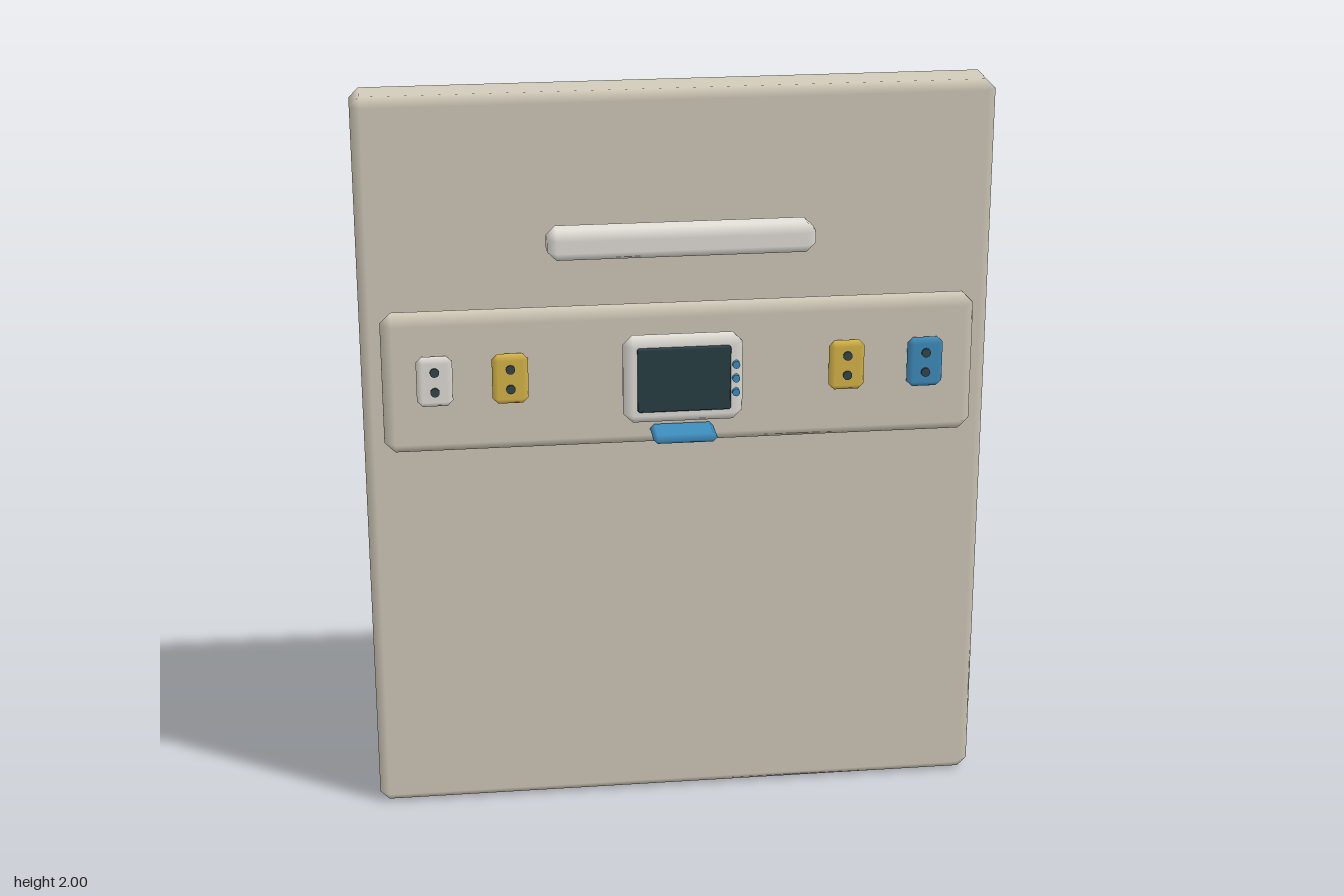
import * as THREE from 'three';
import { ConvexGeometry } from 'three/addons/geometries/ConvexGeometry.js';

const paint = (color) => new THREE.MeshStandardMaterial({ color });
const beige = paint(0xd3ccbb), white = paint(0xe6e3dc), dark = paint(0x2a4046);
const blue = paint(0x3f8fbf), yellow = paint(0xdcb94a), hole = paint(0x34474d);

// Box with chamfered edges; normals stay flat on the faces and blend over the chamfers
function chamferBox(w, h, d, r) {
  const half = [w / 2, h / 2, d / 2];
  const points = [];
  for (let axis = 0; axis < 3; axis++) {
    for (const sx of [-1, 1]) for (const sy of [-1, 1]) for (const sz of [-1, 1]) {
      const c = [sx, sy, sz].map((s, i) => s * (half[i] - (i === axis ? 0 : r)));
      points.push(new THREE.Vector3(...c));
    }
  }
  const geometry = new ConvexGeometry(points);
  const pos = geometry.attributes.position, normal = geometry.attributes.normal;
  for (let i = 0; i < pos.count; i++) {
    const p = [pos.getX(i), pos.getY(i), pos.getZ(i)];
    const n = p.map((v, k) => (Math.abs(Math.abs(v) - half[k]) < 1e-5 ? Math.sign(v) : 0));
    normal.setXYZ(i, ...n);
  }
  return geometry;
}

// Chamfered part given by its centre, size and back/front depth
function block(parent, name, material, x, y, w, h, z0, z1, r) {
  const mesh = new THREE.Mesh(chamferBox(w, h, z1 - z0, r), material);
  mesh.name = name;
  mesh.position.set(x, y, (z0 + z1) / 2);
  parent.add(mesh);
}

// Small round disc facing the front
function disc(parent, name, material, x, y, radius, z0, z1) {
  const geometry = new THREE.CylinderGeometry(radius, radius, z1 - z0, 16).rotateX(Math.PI / 2);
  const mesh = new THREE.Mesh(geometry, material);
  mesh.name = name;
  mesh.position.set(x, y, (z0 + z1) / 2);
  parent.add(mesh);
}

export function createModel() {
  const model = new THREE.Group();
  model.name = 'wallServicePanel';

  // Wall, service rail and lamp
  block(model, 'wallPanel', beige, 0, 1, 1.665, 2, -0.165, -0.012, 0.025);
  block(model, 'serviceRail', beige, 0, 1.254, 1.56, 0.38, -0.011, 0.062, 0.028);
  block(model, 'lampBar', white, 0, 1.627, 0.695, 0.08, 0.01, 0.104, 0.024);

  // Monitor with screen and buttons
  const monitor = new THREE.Group();
  monitor.name = 'monitor';
  block(monitor, 'monitorCase', white, 0, 1.261, 0.314, 0.238, 0.06, 0.12, 0.025);
  block(monitor, 'screen', dark, 0, 1.268, 0.244, 0.174, 0.112, 0.133, 0.004);
  for (const y of [1.302, 1.264, 1.226]) disc(monitor, 'monitorButton', blue, 0.136, y, 0.01, 0.115, 0.13);
  model.add(monitor);

  // Tray under the monitor
  block(model, 'tray', blue, 0, 1.114, 0.168, 0.024, 0.06, 0.165, 0.011);

  // Outlets, each with two holes
  const outlets = [[-0.645, white], [-0.449, yellow], [0.436, yellow], [0.645, blue]];
  for (const [x, material] of outlets) {
    const outlet = new THREE.Group();
    outlet.name = 'outlet';
    block(outlet, 'outletPlate', material, x, 1.272, 0.094, 0.136, 0.06, 0.092, 0.015);
    for (const y of [1.302, 1.248]) disc(outlet, 'outletHole', hole, x, y, 0.012, 0.086, 0.098);
    model.add(outlet);
  }
  return model;
}
